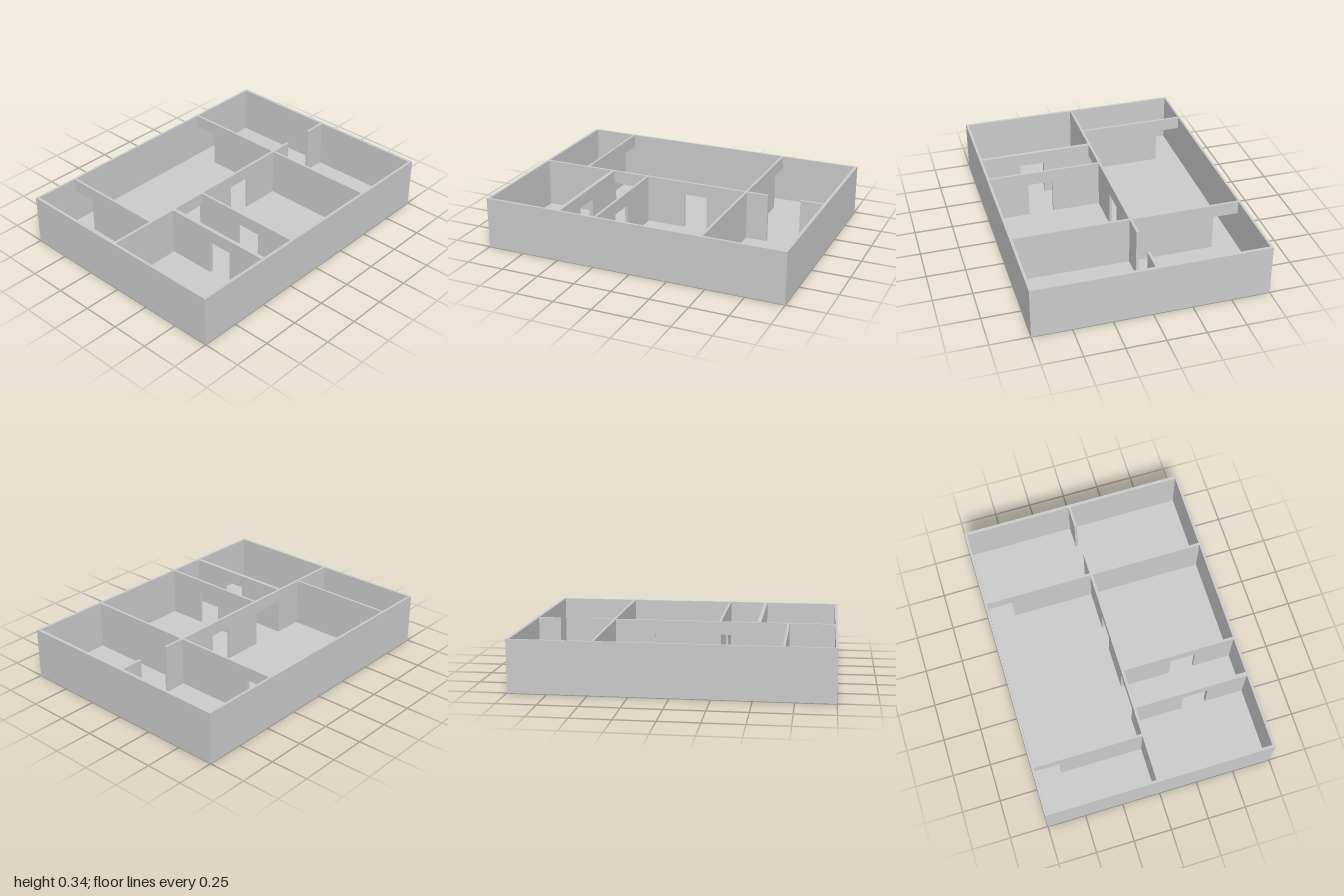
import * as THREE from 'three';

const HEIGHT = 0.336, FLOOR = 0.017, DOOR_TOP = 0.25;

export function createModel() {
  const house = new THREE.Group();
  house.name = 'floorPlan';
  const material = new THREE.MeshStandardMaterial({ color: 0xcccccc, flatShading: true });

  const add = (name, geometry) => {
    const mesh = new THREE.Mesh(geometry, material);
    mesh.name = name;
    house.add(mesh);
    return mesh;
  };

  // Upright wall from u0 to u1; each doorway [a, b] is a notch rising from the floor
  const wallGeometry = (u0, u1, thickness, doors) => {
    const pts = [[u0, FLOOR]];
    for (const [a, b] of doors) pts.push([a, FLOOR], [a, DOOR_TOP], [b, DOOR_TOP], [b, FLOOR]);
    pts.push([u1, FLOOR], [u1, HEIGHT], [u0, HEIGHT]);
    const shape = new THREE.Shape(pts.map(([u, y]) => new THREE.Vector2(u, y)));
    return new THREE.ExtrudeGeometry(shape, { depth: thickness, bevelEnabled: false });
  };

  // Wall running along x, between depths z0 and z1
  const wallAlongX = (name, x0, x1, z0, z1, doors = []) =>
    add(name, wallGeometry(x0, x1, z1 - z0, doors).translate(0, 0, z0));

  // Wall running along z, between x0 and x1
  const wallAlongZ = (name, z0, z1, x0, x1, doors = []) =>
    add(name, wallGeometry(z0, z1, x1 - x0, doors).rotateY(-Math.PI / 2).translate(x1, 0, 0));

  // Floor slab
  add('floor', new THREE.BoxGeometry(2, FLOOR, 1.5).translate(0, FLOOR / 2, 0));

  // Closed ring of outer walls
  const rect = (Type, x0, x1, y0, y1) => new Type([[x0, y0], [x1, y0], [x1, y1], [x0, y1]]
    .map(([x, y]) => new THREE.Vector2(x, y)));
  const ring = rect(THREE.Shape, -1, 1, -0.75, 0.75);
  ring.holes.push(rect(THREE.Path, -0.983, 0.98, -0.733, 0.735));
  add('outerWalls', new THREE.ExtrudeGeometry(ring, { depth: HEIGHT - FLOOR, bevelEnabled: false })
    .rotateX(-Math.PI / 2).translate(0, FLOOR, 0));

  // Long middle wall with a corridor opening and a door, then a stub past the gap
  wallAlongX('middleWall', -0.99, 0.615, -0.028, -0.011, [[-0.478, -0.243], [0.035, 0.195]]);
  wallAlongX('middleWallStub', 0.832, 0.99, -0.028, -0.011);

  // Back partitions, with doorways against the back wall
  wallAlongZ('backRightPartition', -0.745, -0.02, -0.69, -0.675, [[-0.735, -0.57]]);
  wallAlongZ('backLeftPartition', -0.745, -0.02, 0.458, 0.474, [[-0.735, -0.57]]);

  // Front partitions; the two corridor walls have facing doors
  const corridorDoor = [[0.31, 0.475]];
  wallAlongZ('corridorRightWall', -0.02, 0.74, -0.503, -0.478, corridorDoor);
  wallAlongZ('corridorLeftWall', -0.02, 0.74, -0.243, -0.227, corridorDoor);
  wallAlongZ('frontLeftPartition', -0.02, 0.74, 0.458, 0.474);

  return house;
}
